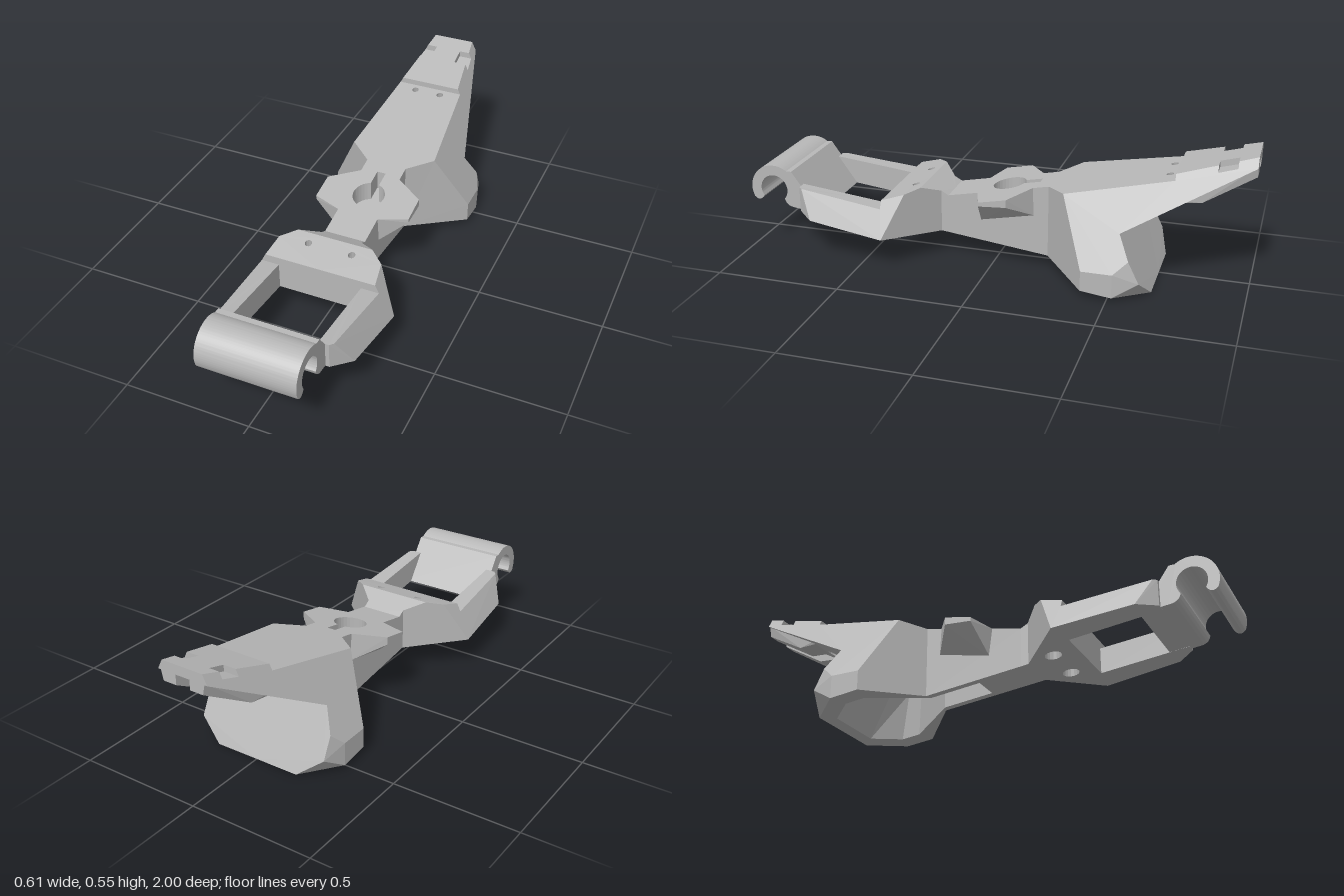
import * as THREE from 'three';
import { toCreasedNormals } from 'three/addons/utils/BufferGeometryUtils.js';
import { ConvexGeometry } from 'three/addons/geometries/ConvexGeometry.js';

const V = (p) => new THREE.Vector3(...p);
// Guiding surfaces: sloped underside, sloped deck, tail deck, leaning flanks
const bot = (z) => 0.079 + 0.121 * z;
const top = (z) => 0.3 - 0.203 * z;
const tail = (z) => 0.467 - 0.279 * (z + 0.71);
const under = (z) => 0.25 - 0.553 * (z + 0.53);
const flankX = (y) => 0.305 - (y - 0.11) * 0.498;
const B = (x, z) => [x, bot(z), z];
const T = (x, z) => [x, top(z), z];
const S = (y, z) => [flankX(y), y, z];

// Collects flat polygons (with holes) and their mirror images into one mesh
class Shell {
  constructor() { this.pos = []; }
  panel(outline, out, holes = []) {
    const pts = [outline, ...holes].flat().map(V);
    const n = new THREE.Vector3();
    outline.forEach((p, i) => n.add(V(p).cross(V(outline[(i + 1) % outline.length]))));
    const [ax, ay, az] = [n.x, n.y, n.z].map(Math.abs);
    const flat = (p) => ay >= ax && ay >= az ? new THREE.Vector2(p[0], p[2])
      : ax >= az ? new THREE.Vector2(p[2], p[1]) : new THREE.Vector2(p[0], p[1]);
    const tris = THREE.ShapeUtils.triangulateShape(outline.map(flat), holes.map((h) => h.map(flat)));
    for (const t of tris) {
      const [a, b, c] = t.map((i) => pts[i]);
      const normal = b.clone().sub(a).cross(c.clone().sub(a));
      const tri = normal.dot(V(out)) < 0 ? [a, c, b] : [a, b, c];
      tri.forEach((p) => this.pos.push(p.x, p.y, p.z));
      [tri[0], tri[2], tri[1]].forEach((p) => this.pos.push(-p.x, p.y, p.z));
    }
  }
  // Strip of quads facing a centre, for the walls of holes and pockets
  wall(a, b, centre) {
    for (let i = 0; i < a.length - 1; i++) {
      const mid = V(a[i]).add(V(a[i + 1])).multiplyScalar(0.5);
      this.panel([a[i], a[i + 1], b[i + 1], b[i]], [centre[0] - mid.x, 0, centre[1] - mid.z]);
    }
  }
  mesh(name, material) {
    const g = new THREE.BufferGeometry();
    g.setAttribute('position', new THREE.Float32BufferAttribute(this.pos, 3));
    g.computeVertexNormals();
    const m = new THREE.Mesh(g, material);
    m.name = name;
    return m;
  }
}

const ring = (cx, cz, r, height, n = 16) => Array.from({ length: n }, (_, i) => {
  const a = (i / n) * Math.PI * 2, z = cz + r * Math.sin(a);
  return [cx + r * Math.cos(a), height(z), z];
});
const closed = (r) => [...r, r[0]];

function rearBody(material) {
  const s = new Shell(), n = 0.085;
  // Deck with keyhole and screw holes
  const key = [[0, -0.17], [0.018, -0.17]];
  for (let i = 0; i <= 14; i++) {
    const a = 0.28 + (i / 14) * (Math.PI - 0.28);
    key.push([0.065 * Math.sin(a), -0.04 - 0.065 * Math.cos(a)]);
  }
  const keyTop = key.map(([x, z]) => T(x, z));
  const keyLow = keyTop.map(([x, y, z]) => [x, y - 0.08, z]);
  const screwTop = ring(0.057, -0.68, 0.014, top);
  const screwLow = ring(0.057, -0.68, 0.03, under);
  s.panel([T(0, 0.19), T(n, 0.19), T(n, -0.22), T(0.18, -0.3), T(0.139, -0.71), T(0, -0.71), ...keyTop], [0, 1, 0], [screwTop]);
  s.wall(keyTop, keyLow, [0, -0.08]);
  s.panel(keyLow, [0, 1, 0]);
  s.wall(closed(screwTop), closed(screwLow), [0.057, -0.68]);

  // Neck side, flaring wall, outer wall and corner facets
  const low = [0.28, 0.075, -0.616];
  s.panel([T(n, 0.19), T(n, -0.22), B(n, -0.22), B(n, 0.19)], [1, 0, 0]);
  s.panel([T(n, -0.22), T(0.18, -0.3), S(0.11, -0.4), B(0.305, -0.4), B(n, -0.22)], [1, 0, 1]);
  s.panel([S(0.11, -0.4), S(0.11, -0.52), B(0.305, -0.52), B(0.305, -0.4)], [1, 0, 0]);
  s.panel([S(0.11, -0.52), S(0.16, -0.574), low, B(0.305, -0.52)], [1, 0, -0.3]);
  s.panel([B(0.305, -0.52), low, B(0.18, -0.65)], [1, -1, -1]);

  // Leaning flank, continuous from foot to tail, with the clip notch
  const na = -0.86, nb = -0.93, ya = tail(na), yb = tail(nb), d = 0.025;
  s.panel([T(0.18, -0.3), S(top(-0.71), -0.71), S(0.467, -0.71), S(ya, na), S(ya - d, na), S(yb - d, nb), S(yb, nb),
    S(tail(-1), -1), S(under(-1), -1), S(0.25, -0.53), S(0.16, -0.574), S(0.11, -0.52), S(0.11, -0.4)], [1, 0.5, 0]);
  const ix = 0.055, ia = [ix, ya, na], ib = [ix, yb, nb], fa = [ix, ya - d, na], fb = [ix, yb - d, nb];
  s.panel([[0, 0.467, -0.71], S(0.467, -0.71), S(ya, na), ia, ib, S(yb, nb), S(tail(-1), -1), [0, tail(-1), -1]], [0, 1, 0]);
  s.panel([fa, fb, S(yb - d, nb), S(ya - d, na)], [0, 1, 0]);
  s.panel([ia, ib, fb, fa], [1, 0, 0]);
  s.panel([ia, S(ya, na), S(ya - d, na), fa], [0, 0, -1]);
  s.panel([ib, S(yb, nb), S(yb - d, nb), fb], [0, 0, 1]);

  // Step, tail end, tail underside, rear wall
  s.panel([T(0, -0.71), S(top(-0.71), -0.71), S(0.467, -0.71), [0, 0.467, -0.71]], [0, 0, 1]);
  s.panel([[0, under(-1), -1], S(under(-1), -1), S(tail(-1), -1), [0, tail(-1), -1]], [0, 0, -1]);
  s.panel([[0, 0.25, -0.53], S(0.25, -0.53), S(under(-1), -1), [0, under(-1), -1]], [0, -1, 0], [screwLow]);
  s.panel([[0, 0.25, -0.53], S(0.25, -0.53), S(0.16, -0.574), low, B(0.18, -0.65), B(0, -0.65)], [0, 0, -1]);

  // Underside rim and hollow
  const rim = [[0, -0.6], [0.13, -0.6], [0.225, -0.5], [0.225, -0.42], [0.057, -0.21], [0.057, 0], [0, 0]].map(([x, z]) => B(x, z));
  const roof = [[0, -0.5], [0.13, -0.5], [0.2, -0.46], [0.2, -0.4], [0.05, -0.21], [0.05, 0], [0, 0]].map(([x, z]) => [x, 0.21, z]);
  s.panel([B(0, 0.19), B(n, 0.19), B(n, -0.22), B(0.305, -0.4), B(0.305, -0.52), B(0.18, -0.65), B(0, -0.65), ...rim], [0, -1, 0]);
  s.wall(rim, roof, [0, -0.3]);
  s.panel(roof, [0, -1, 0]);
  return s.mesh('rearBody', material);
}

function frontFrame(material) {
  const s = new Shell(), n = 0.085;
  const ridge = (z) => 0.31 - 0.3 * (z - 0.28);
  const corner = [0.212, 0.296, 0.329], shoulder = S(0.268, 0.42), railA = S(0.236, 0.42), railB = S(0.275, 0.765);
  const neckTop = [n, 0.278, 0.22], ridgeEnd = [0.155, 0.31, 0.28], tip = [0.21, 0.276, 0.78];
  const holeTop = ring(0.09, 0.325, 0.014, ridge), holeLow = ring(0.09, 0.325, 0.033, bot);

  // Raised crossblock
  s.panel([T(0, 0.19), T(n, 0.19), neckTop, ridgeEnd, [0, 0.31, 0.28]], [0, 1, 0]);
  s.panel([[0, 0.31, 0.28], ridgeEnd, corner, shoulder, [0, 0.268, 0.42]], [0, 1, 0], [holeTop]);
  s.wall(closed(holeTop), closed(holeLow), [0.09, 0.325]);
  s.panel([T(n, 0.19), neckTop, B(n, 0.22), B(n, 0.19)], [1, 0, 0]);
  s.panel([neckTop, ridgeEnd, corner, B(0.296, 0.4), B(n, 0.22)], [1, 0, -1]);
  s.panel([[0, 0.268, 0.42], shoulder, railA, [0.17, 0.236, 0.42], B(0.17, 0.42), B(0, 0.42)], [0, 0, 1]);

  // Side rails around the window
  s.panel([corner, shoulder, railA, railB, B(0.275, 0.71), B(0.296, 0.4)], [1, 0.5, 0]);
  s.panel([railB, tip, B(0.21, 0.78), B(0.275, 0.71)], [1, 0, 1]);
  s.panel([[0.17, 0.236, 0.42], railA, railB, tip, [0.17, 0.276, 0.78]], [0, 1, 0]);
  s.panel([[0.17, 0.236, 0.42], [0.17, 0.276, 0.78], B(0.17, 0.78), B(0.17, 0.42)], [-1, 0, 0]);
  s.panel([[0.17, 0.276, 0.78], tip, B(0.21, 0.78), B(0.17, 0.78)], [0, 0, 1]);
  s.panel([B(0, 0.19), B(n, 0.19), B(n, 0.22), B(0.296, 0.4), B(0.275, 0.71), B(0.21, 0.78), B(0.17, 0.78), B(0.17, 0.42), B(0, 0.42)],
    [0, -1, 0], [holeLow]);
  return s.mesh('frontFrame', material);
}

// Front bar with an open, downward-facing hook
function hook(material) {
  const rad = Math.PI / 180, p = new THREE.Shape();
  p.moveTo(0.7, 0.164);
  p.lineTo(0.81, 0.178);
  p.quadraticCurveTo(0.85, 0.18, 0.856, 0.213);
  p.absarc(0.9, 0.25, 0.058, 220 * rad, -35 * rad, true);
  p.quadraticCurveTo(0.968, 0.185, 0.99, 0.208);
  p.absarc(0.9, 0.25, 0.1, -25 * rad, 125 * rad, false);
  p.lineTo(0.82, 0.332);
  const g = new THREE.ExtrudeGeometry(p, { depth: 0.39, bevelEnabled: false, curveSegments: 28 });
  g.rotateY(-Math.PI / 2).translate(0.195, 0, 0);
  const m = new THREE.Mesh(toCreasedNormals(g, 0.5), material);
  m.name = 'hook';
  return m;
}

function hull(name, points, material) {
  const m = new THREE.Mesh(new ConvexGeometry(points.map(V)), material);
  m.name = name;
  return m;
}

export function createModel() {
  const grey = new THREE.MeshStandardMaterial({ color: 0xb8b8b8 });
  grey.name = 'light grey';
  const model = new THREE.Group();
  model.name = 'bracket';
  model.add(rearBody(grey), frontFrame(grey), hook(grey));
  for (const k of [1, -1]) {
    const side = k > 0 ? 'left' : 'right';
    // Tapered ear beside the keyhole
    model.add(hull(side + 'Ear', [T(k * 0.08, 0.07), T(k * 0.2, 0.03), T(k * 0.2, -0.08), T(k * 0.08, -0.16),
      [k * 0.2, 0.278, 0.03], [k * 0.2, 0.285, -0.08], [k * 0.08, 0.17, 0.055], [k * 0.08, 0.215, -0.165]], grey));
    // Rail under the tail, leaving a central channel
    model.add(hull(side + 'TailRail', [[0.14, 0.357, -0.72], [0.125, 0.362, -0.81], [0.085, 0.47, -1], [0.145, 0.37, -0.72], [0.095, 0.515, -1]]
      .flatMap(([x, y, z]) => [[k * x, y, z], [k * 0.03, y, z]]), grey));
  }
  return model;
}
